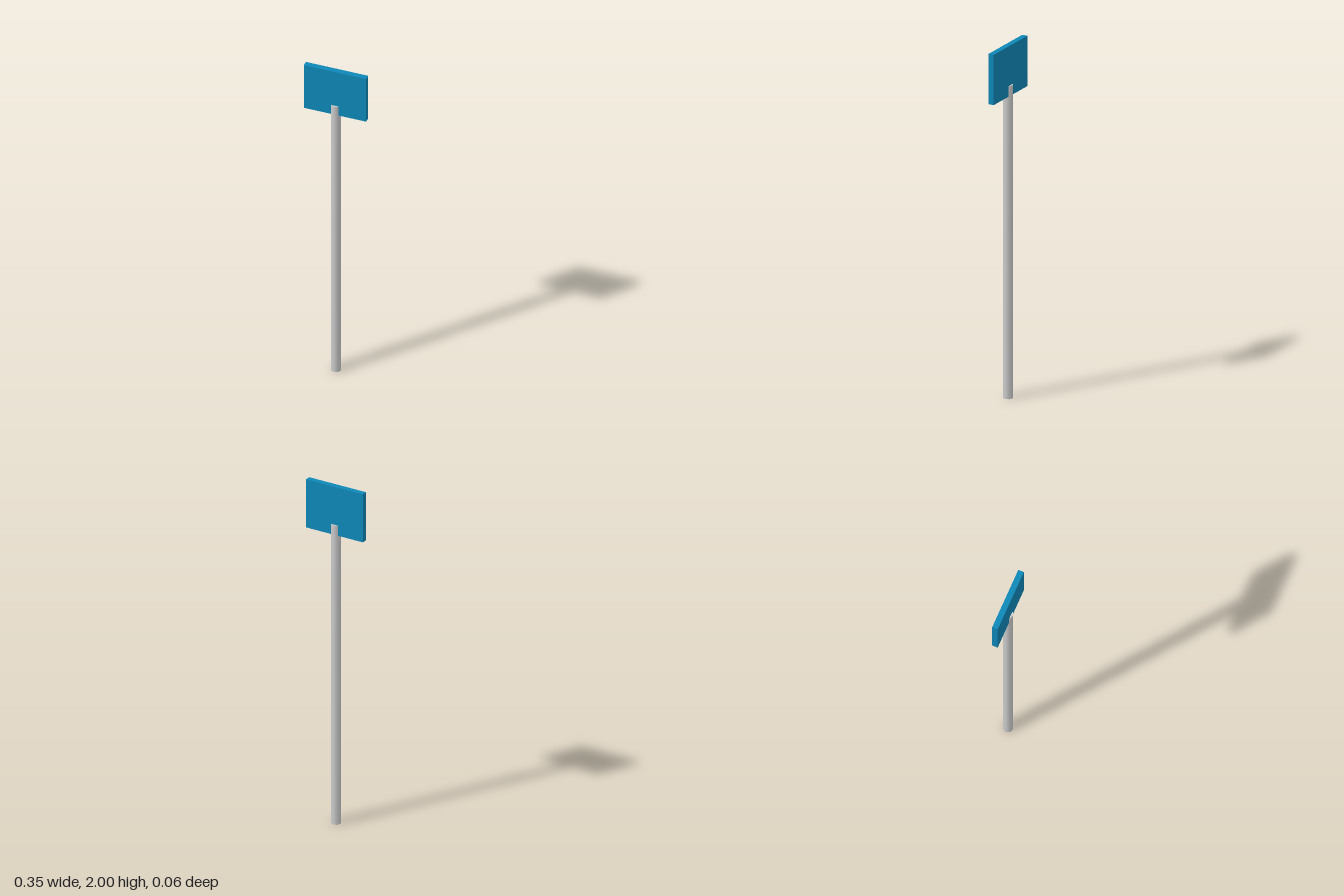
import * as THREE from 'three';

const POLE_RADIUS = 0.028, POLE_HEIGHT = 1.775;
const SIGN_WIDTH = 0.355, SIGN_DEPTH = 0.032, SIGN_BOTTOM = 1.715, SIGN_TOP = 2;

export function createModel() {
  const model = new THREE.Group();
  model.name = 'signpost';

  // Eight-sided pole with smooth sides
  const pole = new THREE.Mesh(
    new THREE.CylinderGeometry(POLE_RADIUS, POLE_RADIUS, POLE_HEIGHT, 8),
    new THREE.MeshStandardMaterial({ color: 0xcccccc })
  );
  pole.name = 'pole';
  pole.position.y = POLE_HEIGHT / 2;

  // Blank board, with the pole's tip set into its lower edge
  const board = new THREE.Mesh(
    new THREE.BoxGeometry(SIGN_WIDTH, SIGN_TOP - SIGN_BOTTOM, SIGN_DEPTH),
    new THREE.MeshStandardMaterial({ color: 0x0e88b8 })
  );
  board.name = 'signBoard';
  board.position.y = (SIGN_TOP + SIGN_BOTTOM) / 2;

  model.add(pole, board);
  return model;
}
